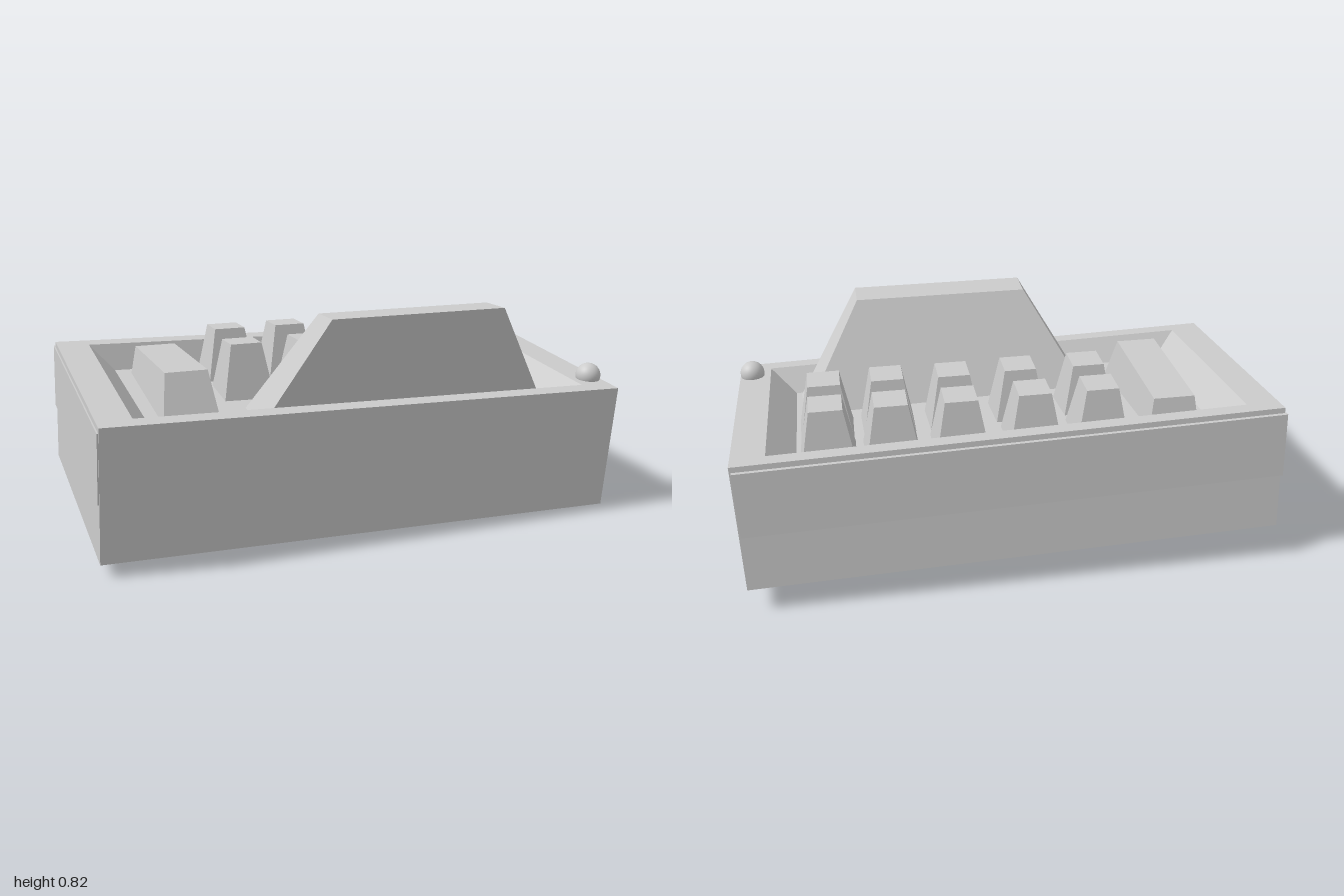
import * as THREE from 'three';

const material = new THREE.MeshStandardMaterial({ color: 0xcccccc, flatShading: true });

// Faceted solid through a stack of rectangles, each [y, x0, x1, z0, z1], closed at both ends
function loft(name, rings) {
  const corners = rings.map(([y, x0, x1, z0, z1]) =>
    [[x0, y, z1], [x1, y, z1], [x1, y, z0], [x0, y, z0]]);
  const pos = [];
  const quad = (a, b, c, d) => pos.push(...a, ...b, ...c, ...a, ...c, ...d);
  for (let r = 0; r < corners.length - 1; r++) {
    const low = corners[r], high = corners[r + 1];
    for (let i = 0; i < 4; i++) {
      const j = (i + 1) % 4;
      quad(low[i], low[j], high[j], high[i]);
    }
  }
  quad(...[...corners[0]].reverse());
  quad(...corners[corners.length - 1]);
  const geo = new THREE.BufferGeometry();
  geo.setAttribute('position', new THREE.Float32BufferAttribute(pos, 3));
  geo.computeVertexNormals();
  const mesh = new THREE.Mesh(geo, material);
  mesh.name = name;
  return mesh;
}

export function createModel() {
  const model = new THREE.Group();
  model.name = 'keyConsole';

  // Tilted housing with a sloped tray sunk into its top
  const housing = new THREE.Group();
  housing.name = 'housing';
  housing.position.y = 0.314;
  housing.rotation.set(0.0985, 0, -0.0235);
  const W = 0.992, H = 0.2435, D = 0.495;
  housing.add(loft('trayBody', [
    [-H, -W, W, -D, D],
    [H, -W, W, -D, D],
    [H, -0.87, 0.87, -0.432, 0.43],
    [H - 0.1, -0.775, 0.775, -0.395, 0.375],
  ]));

  // Slightly raised bands on the back and the right side
  housing.add(loft('backBand', [
    [-0.026, -0.997, 0.985, -0.506, -0.47],
    [0.223, -0.997, 0.985, -0.511, -0.47],
  ]));
  housing.add(loft('sideBand', [
    [-0.026, -0.997, -0.95, -0.506, 0.49],
    [0.223, -0.997, -0.95, -0.511, 0.49],
  ]));
  model.add(housing);

  // Two rows of tapered keys, standing level and a little uneven
  const rows = [
    { top: 0.685, base: 0.43, half: 0.107, keys: [[-0.34, -0.262], [-0.09, -0.26], [0.18, -0.268], [0.43, -0.26], [0.66, -0.258]] },
    { top: 0.668, base: 0.42, half: 0.105, keys: [[-0.345, -0.025], [-0.08, -0.022], [0.175, -0.03], [0.425, -0.022], [0.66, -0.03]] },
  ];
  const keys = new THREE.Group();
  keys.name = 'keys';
  for (const { top, base, half, keys: spots } of rows) {
    for (const [x, z] of spots) {
      const ring = (y, h) => [y, x - h, x + h, z - h, z + h];
      keys.add(loft('key', [ring(base, half), ring(top, 0.06)]));
    }
  }
  model.add(keys);

  // Long side bar
  model.add(loft('sideBar', [
    [0.43, -0.726, -0.514, -0.345, 0.28],
    [0.62, -0.698, -0.542, -0.305, 0.205],
  ]));

  // Tall leaning front block
  model.add(loft('frontBlock', [
    [0.4, -0.42, 0.76, 0.13, 0.365],
    [0.82, -0.17, 0.505, 0.34, 0.473],
  ]));

  // Round knob on the front left corner
  const knob = new THREE.Mesh(
    new THREE.SphereGeometry(0.048, 32, 20),
    new THREE.MeshStandardMaterial({ color: 0xcccccc }));
  knob.name = 'knob';
  knob.position.set(0.948, 0.513, 0.383);
  model.add(knob);

  return model;
}
